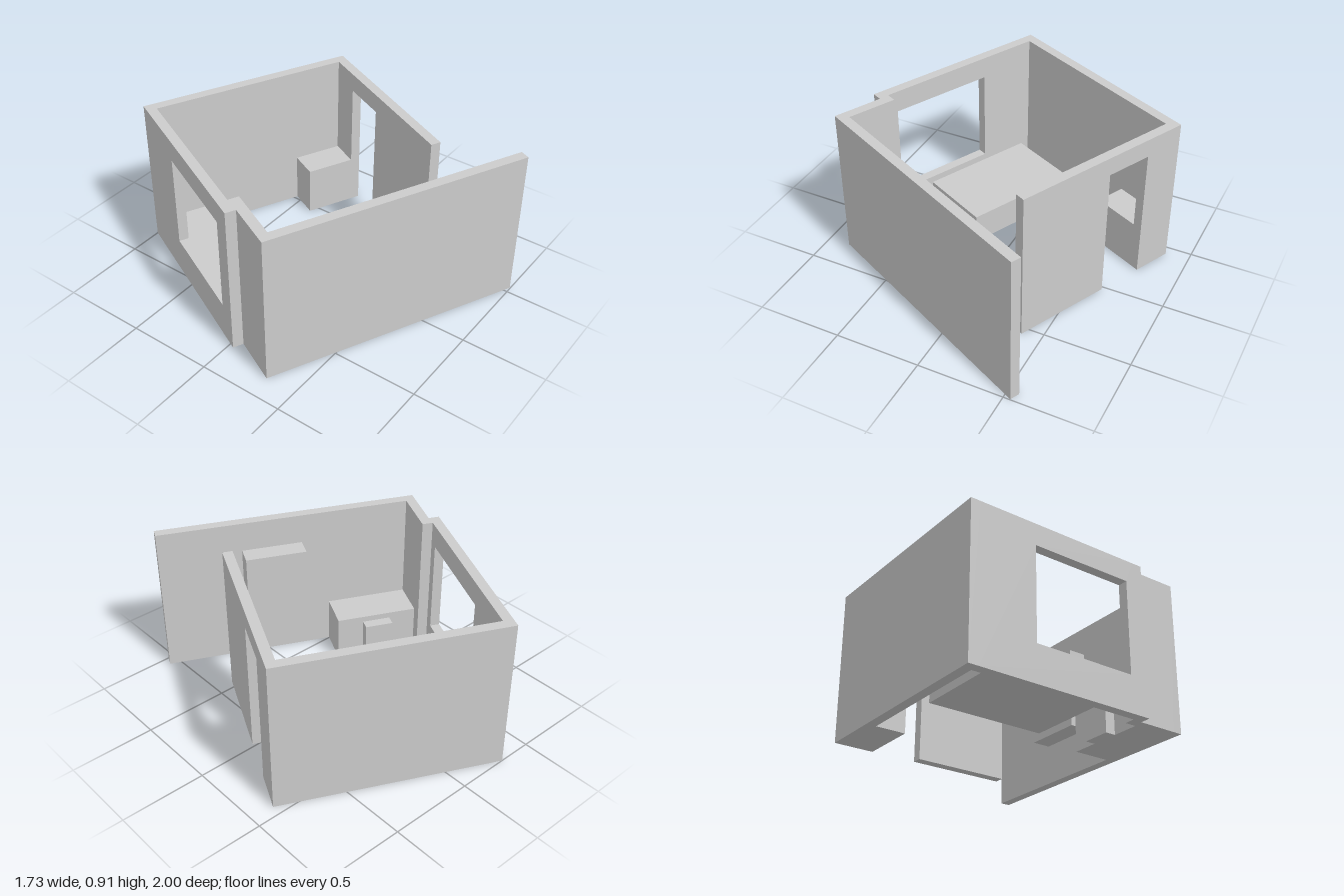
import * as THREE from 'three';

const HEIGHT = 0.91;   // wall height
const T = 0.058;       // wall thickness
const material = new THREE.MeshStandardMaterial({ color: 0xcccccc });

export function createModel() {
  const room = new THREE.Group();
  room.name = 'room';
  room.rotation.y = -0.4485; // the whole plan is turned on its base

  const add = (name, geometry) => {
    const mesh = new THREE.Mesh(geometry, material);
    mesh.name = name;
    room.add(mesh);
    return mesh;
  };

  // Box between two corners, in plan coordinates
  const block = (name, [x0, x1], [y0, y1], [z0, z1]) =>
    add(name, new THREE.BoxGeometry(x1 - x0, y1 - y0, z1 - z0))
      .position.set((x0 + x1) / 2, (y0 + y1) / 2, (z0 + z1) / 2);

  // Side wall running along z: an outline of [z, y] points, thickened along x
  const sideWall = (name, xMax, outline, hole) => {
    const toPoints = (list) => list.map(([z, y]) => new THREE.Vector2(z, y));
    const shape = new THREE.Shape(toPoints(outline));
    if (hole) shape.holes.push(new THREE.Path(toPoints(hole)));
    const geometry = new THREE.ExtrudeGeometry(shape, { depth: T, bevelEnabled: false });
    geometry.rotateY(-Math.PI / 2);
    add(name, geometry).position.x = xMax;
  };

  // Plain walls
  block('backWall', [-0.704, 0.586], [0, HEIGHT], [-0.771, -0.771 + T]);
  block('frontWall', [-0.642, 0.918], [0, HEIGHT], [0.664 - T, 0.664]);

  // Wall with the window, then the step inward to the short wall
  const back = -0.771 + T;
  sideWall('windowWall', -0.704 + T,
    [[back, 0], [0.314, 0], [0.314, HEIGHT], [back, HEIGHT]],
    [[-0.365, 0.22], [-0.365, 0.78], [0.258, 0.78], [0.258, 0.22]]);
  block('wallStep', [-0.704, -0.584], [0, HEIGHT], [0.314, 0.372]);
  block('shortWall', [-0.642, -0.584], [0, HEIGHT], [0.372, 0.664 - T]);

  // Wall with the doorway
  sideWall('doorWall', 0.586, [
    [back, 0], [-0.535, 0], [-0.535, 0.8], [-0.26, 0.8], [-0.26, 0],
    [0.325, 0], [0.325, HEIGHT], [back, HEIGHT],
  ]);

  // Furniture
  block('bed', [-0.646, -0.196], [0, 0.18], [-0.658, 0.042]);
  block('desk', [-0.584, -0.099], [0, 0.275], [0.383, 0.606]);
  block('chair', [-0.423, -0.255], [0, 0.24], [0.321, 0.383]);
  block('cornerCabinet', [0.236, 0.528], [0, 0.3], [back, -0.535]);
  block('wallCabinet', [0.064, 0.426], [0.24, 0.73], [0.492, 0.606]);

  const model = new THREE.Group();
  model.name = 'model';
  model.add(room);
  return model;
}
